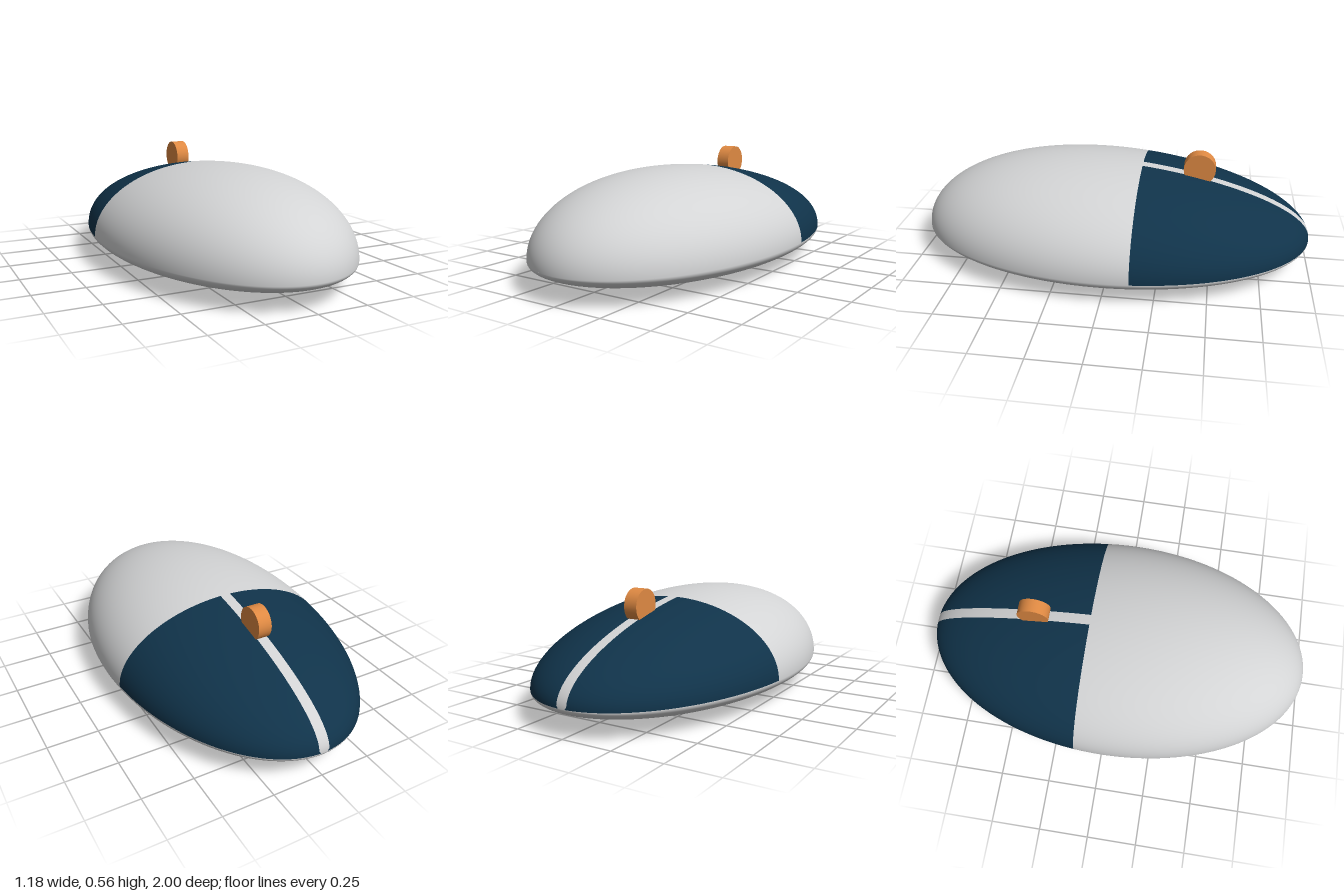
import * as THREE from 'three';

const HALF_WIDTH = 0.592, RIM = 0.13, TOP = 0.367, TAPER = 0.19, BOTTOM = 0.13;
const SPLIT_Z = -0.14, STRIPE = 0.0265;

const paint = (name, color) => {
  const m = new THREE.MeshStandardMaterial({ color });
  m.name = name;
  return m;
};

// Patch of the hull: z runs from z0 to z1, the section angle from a0(w) to a1(w),
// where w is the half width of the section. 0..PI is the top, PI..2PI the underside.
function hullPatch(z0, z1, a0, a1, rows, cols, height, taper) {
  const pos = [], nor = [], idx = [];
  const t0 = Math.acos(-z0), t1 = Math.acos(-z1);
  const n = new THREE.Vector3();
  for (let i = 0; i <= rows; i++) {
    const t = t0 + (t1 - t0) * i / rows;
    const z = -Math.cos(t), s = Math.sin(t), w = HALF_WIDTH * s;
    const h = height * (1 + taper * z);
    for (let j = 0; j <= cols; j++) {
      const a = a0(w) + (a1(w) - a0(w)) * j / cols;
      const x = w * Math.cos(a), y = h * s * Math.sin(a);
      pos.push(x, RIM + y, z);
      n.set(x / HALF_WIDTH ** 2, y / h ** 2, z - y * y * height * taper / h ** 3).normalize();
      nor.push(n.x, n.y, n.z);
      if (i < rows && j < cols) {
        const p = i * (cols + 1) + j, q = p + cols + 1;
        idx.push(p, p + 1, q, p + 1, q + 1, q);
      }
    }
  }
  const g = new THREE.BufferGeometry();
  g.setAttribute('position', new THREE.Float32BufferAttribute(pos, 3));
  g.setAttribute('normal', new THREE.Float32BufferAttribute(nor, 3));
  g.setIndex(idx);
  return g;
}

export function createModel() {
  const model = new THREE.Group();
  model.name = 'computerMouse';
  const shell = paint('light grey shell', 0xd3d4d5);
  const navy = paint('navy buttons', 0x10334a);
  const orange = paint('orange wheel', 0xe08a43);

  const add = (name, geometry, material) => {
    const mesh = new THREE.Mesh(geometry, material);
    mesh.name = name;
    model.add(mesh);
    return mesh;
  };

  // Section angles: rim to rim, and the two edges of the centre stripe
  const zero = () => 0, half = () => Math.PI, full = () => 2 * Math.PI;
  const stripeLeft = w => Math.acos(Math.min(1, STRIPE / Math.max(w, 1e-6)));
  const stripeRight = w => Math.PI - stripeLeft(w);

  // Shell: palm rest, underside and stripe between the buttons
  add('palmRest', hullPatch(SPLIT_Z, 1, zero, half, 48, 64, TOP, TAPER), shell);
  add('underside', hullPatch(-1, 1, half, full, 80, 64, BOTTOM, 0), shell);
  add('centreStripe', hullPatch(-1, SPLIT_Z, stripeLeft, stripeRight, 48, 6, TOP, TAPER), shell);

  // Buttons on either side of the stripe
  add('leftButton', hullPatch(-1, SPLIT_Z, zero, stripeLeft, 48, 32, TOP, TAPER), navy);
  add('rightButton', hullPatch(-1, SPLIT_Z, stripeRight, half, 48, 32, TOP, TAPER), navy);

  // Scroll wheel
  const wheel = add('scrollWheel', new THREE.CylinderGeometry(0.08, 0.08, 0.068, 40), orange);
  wheel.rotation.z = Math.PI / 2;
  wheel.position.set(0, 0.48, -0.428);

  return model;
}
